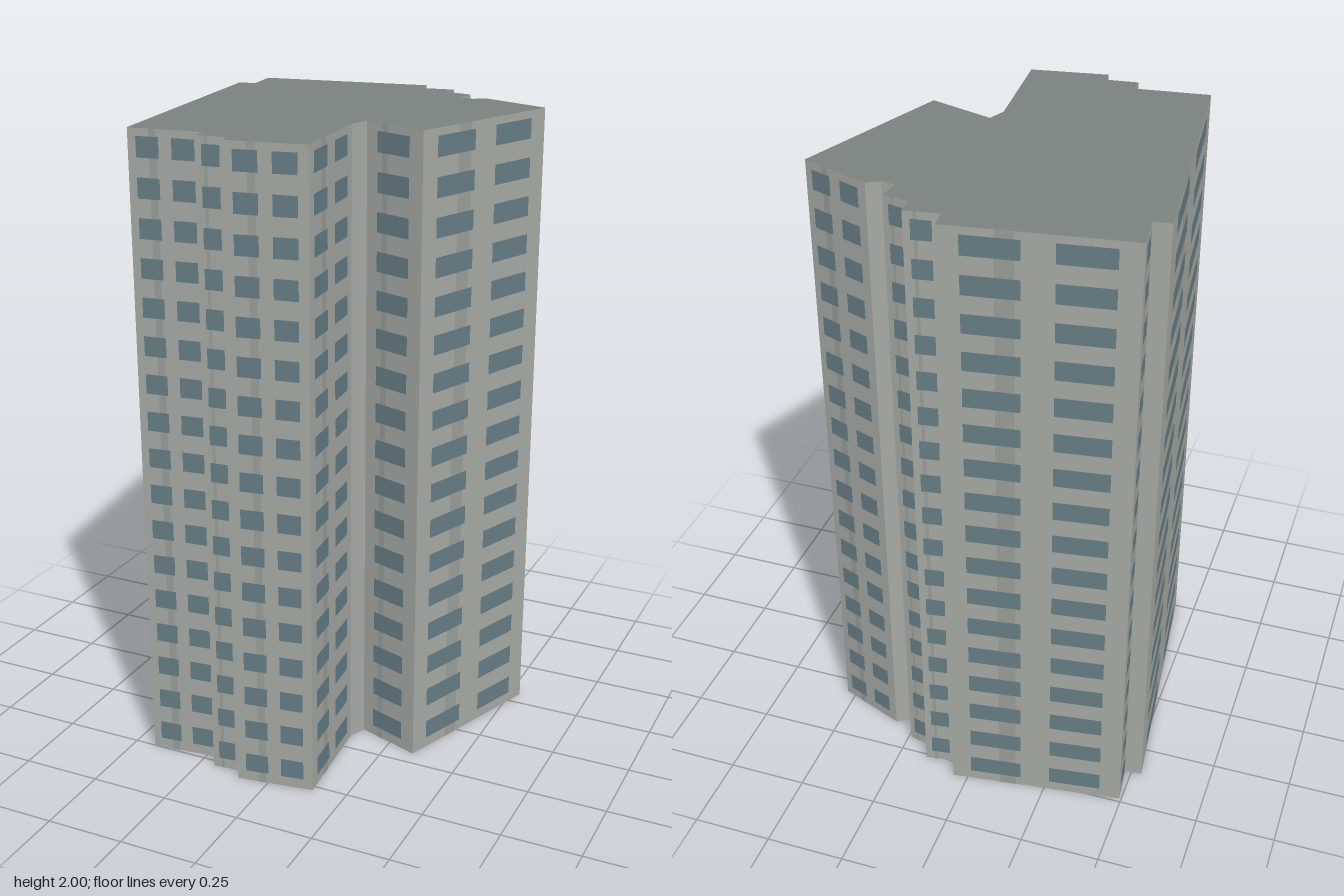
import * as THREE from 'three';
import { mergeGeometries } from 'three/addons/utils/BufferGeometryUtils.js';

const HEIGHT = 2;
const FLOORS = 17;

// Footprint corners [x, z], counter-clockwise seen from above
const FOOTPRINT = [
  [-0.432, 0.5], [-0.2, 0.475], [-0.2, 0.525], [-0.104, 0.516], [-0.096, 0.556],
  [0.144, 0.521], [0.118, 0.182], [0.141, 0.127], [0.344, 0.197], [0.532, -0.306],
  [0.316, -0.391], [0.278, -0.368], [0.234, -0.374], [0.242, -0.442], [0.16, -0.46],
  [0.16, -0.512], [0.056, -0.498], [0.047, -0.559], [-0.494, -0.487], [-0.479, -0.365],
  [-0.533, -0.36],
];

// Upright panel on the wall a-b, between fractions u0-u1 and heights y0-y1
function panel(a, b, u0, u1, y0, y1, offset = 0) {
  const dx = b[0] - a[0], dz = b[1] - a[1];
  const length = Math.hypot(dx, dz);
  const u = (u0 + u1) / 2;
  return new THREE.PlaneGeometry(length * (u1 - u0), y1 - y0)
    .translate(0, 0, offset)
    .rotateY(Math.atan2(-dz, dx))
    .translate(a[0] + dx * u, (y0 + y1) / 2, a[1] + dz * u);
}

// Window columns across a wall, as fractions of its length
function windowColumns(length) {
  if (length > 0.22) return [[0.11, 0.41], [0.58, 0.88]];
  if (length > 0.08) return [[0.2, 0.77]];
  return [];
}

export function createModel() {
  const group = new THREE.Group();
  group.name = 'towerBlock';

  const add = (name, geometry, color, side = THREE.FrontSide) => {
    const mesh = new THREE.Mesh(geometry, new THREE.MeshStandardMaterial({ color, side }));
    mesh.name = name;
    group.add(mesh);
  };

  const walls = [], stripes = [], windows = [];
  FOOTPRINT.forEach((a, i) => {
    const b = FOOTPRINT[(i + 1) % FOOTPRINT.length];
    const columns = windowColumns(Math.hypot(b[0] - a[0], b[1] - a[1]));
    walls.push(panel(a, b, 0, 1, 0, HEIGHT));

    // Faint darker strip running up each windowed wall
    if (columns.length) stripes.push(panel(a, b, 0.28, 0.38, 0, HEIGHT, 0.001));

    // One row of windows per floor
    for (let floor = 0; floor < FLOORS; floor++) {
      const y = (floor * HEIGHT) / FLOORS + 0.034;
      for (const [u0, u1] of columns) windows.push(panel(a, b, u0, u1, y, y + 0.061, 0.002));
    }
  });

  // Flat roof; the underside of the tower stays open
  const outline = new THREE.Shape(FOOTPRINT.map(([x, z]) => new THREE.Vector2(x, -z)));
  const roof = new THREE.ShapeGeometry(outline).rotateX(-Math.PI / 2).translate(0, HEIGHT, 0);

  add('walls', mergeGeometries(walls), 0xa6a9a4, THREE.DoubleSide);
  add('wallStripes', mergeGeometries(stripes), 0x9a9d98);
  add('windows', mergeGeometries(windows), 0x667d85);
  add('roof', roof, 0x7b817e, THREE.DoubleSide);
  return group;
}
